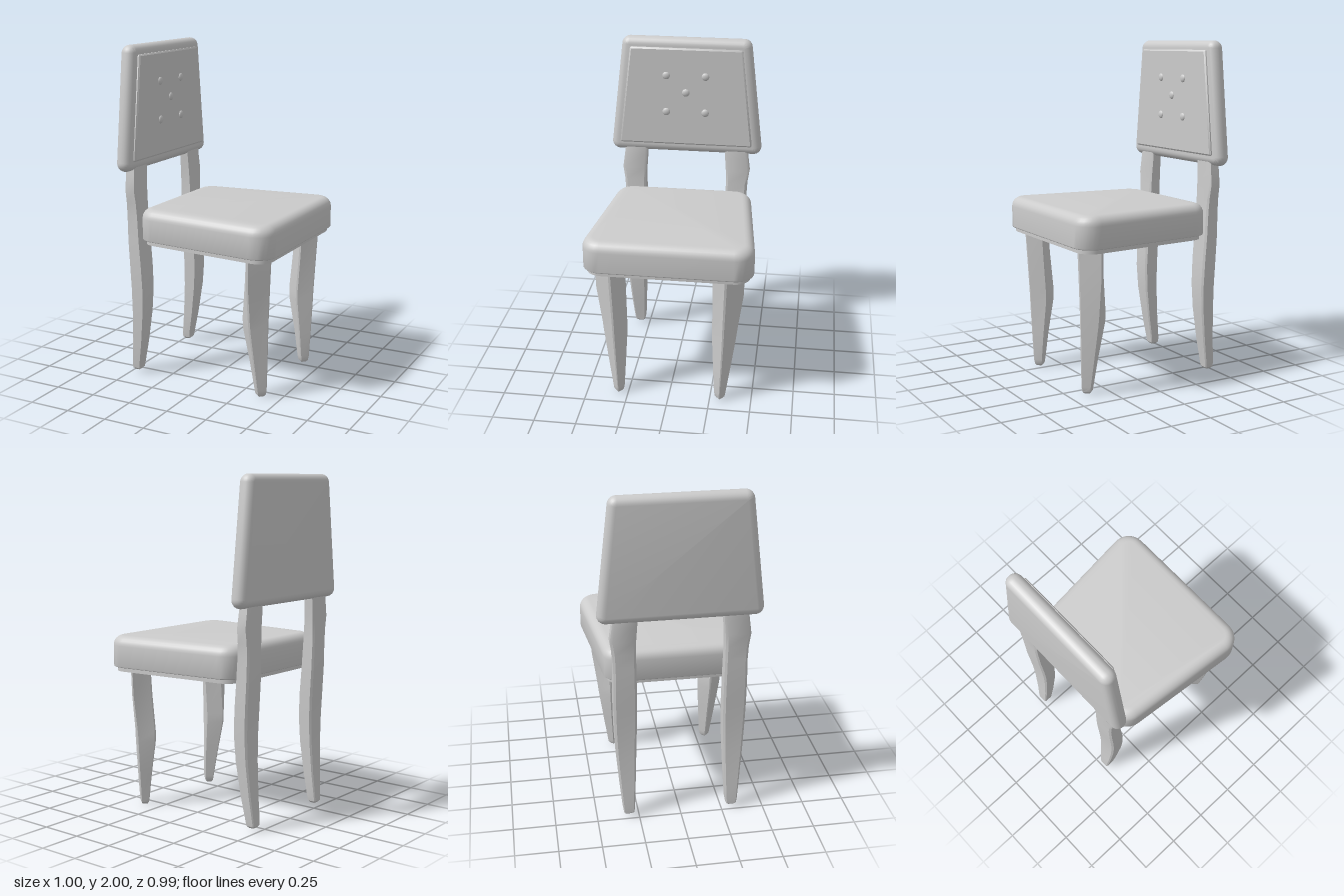
import * as THREE from 'three';
import { toCreasedNormals } from 'three/addons/utils/BufferGeometryUtils.js';

const material = new THREE.MeshStandardMaterial({ color: 0xcccccc });

function addMesh(parent, name, geometry) {
  const mesh = new THREE.Mesh(geometry, material);
  mesh.name = name;
  parent.add(mesh);
  return mesh;
}

// Closed skin through rings of [x, y, z] points, capped at both ends
function loft(rings, crease = 0.6) {
  const n = rings[0].length, pos = rings.flat(2), index = [];
  for (let i = 0; i < rings.length - 1; i++) {
    for (let j = 0; j < n; j++) {
      const k = (j + 1) % n;
      const a = i * n + j, b = i * n + k, c = a + n, d = b + n;
      index.push(a, b, d, a, d, c);
    }
  }
  const last = (rings.length - 1) * n;
  for (let j = 1; j < n - 1; j++) {
    index.push(0, j + 1, j);
    index.push(last, last + j, last + j + 1);
  }
  const g = new THREE.BufferGeometry();
  g.setAttribute('position', new THREE.Float32BufferAttribute(pos, 3));
  g.setIndex(index);
  return toCreasedNormals(g, crease);
}

// Trapezoid with rounded corners: half width h0 at v0, h1 at v1
function roundedTrapezoid({ v0, v1, h0, h1, r }, inset, steps = 7) {
  const k = (h1 - h0) / (v1 - v0), phi = Math.atan(-k), PI = Math.PI;
  const half = v => h0 + k * (v - v0) - r * Math.hypot(1, k);
  const low = v0 + r, high = v1 - r;
  const corners = [
    [half(low), low, -PI / 2, phi],
    [half(high), high, phi, PI / 2],
    [-half(high), high, PI / 2, PI - phi],
    [-half(low), low, PI - phi, PI * 1.5],
  ];
  const points = [];
  for (const [u, v, from, to] of corners) {
    for (let i = 0; i <= steps; i++) {
      const a = from + (to - from) * i / steps;
      points.push([u + (r - inset) * Math.cos(a), v + (r - inset) * Math.sin(a)]);
    }
  }
  return points;
}

// Profile of [inset, depth] pairs: quarter rounds at the start and the end
function roundedProfile(w0, w1, r0, r1, steps = 6) {
  const out = [];
  for (let i = 0; i <= steps; i++) {
    const a = i / steps * Math.PI / 2;
    out.push([r0 * (1 - Math.sin(a)), w0 + r0 * (1 - Math.cos(a))]);
  }
  for (let i = 0; i <= steps; i++) {
    const a = i / steps * Math.PI / 2;
    out.push([r1 * (1 - Math.cos(a)), w1 - r1 * (1 - Math.sin(a))]);
  }
  return out;
}

const horizontalSlab = (shape, profile) => loft(profile.map(([inset, y]) =>
  roundedTrapezoid(shape, inset).map(([u, v]) => [v, y, u])));
const uprightSlab = (shape, profile) => loft(profile.map(([inset, x]) =>
  roundedTrapezoid(shape, inset).map(([u, v]) => [x, v, -u])));

// Leg from sections of four [z, x] corners, each corner slightly bevelled
function legGeometry(sections, side, bevel) {
  return loft(sections.map(({ y, corners }) => {
    const ring = [];
    corners.forEach((c, i) => {
      for (const other of [corners[(i + 3) % 4], corners[(i + 1) % 4]]) {
        ring.push([c[1] + (other[1] - c[1]) * bevel, y, side * (c[0] + (other[0] - c[0]) * bevel)]);
      }
    });
    return side < 0 ? ring.reverse() : ring;
  }), 0.5);
}

// Front legs: diamond section, [y, xMin, xMax, zMin, zMax, xRidge, zRidge]
const frontLeg = [
  [0.0, 0.35, 0.395, 0.29, 0.33, 0.372, 0.31],
  [0.012, 0.338, 0.408, 0.278, 0.342, 0.37, 0.31],
  [0.04, 0.332, 0.414, 0.272, 0.347, 0.368, 0.31],
  [0.2, 0.305, 0.422, 0.262, 0.372, 0.357, 0.317],
  [0.41, 0.262, 0.43, 0.25, 0.403, 0.343, 0.325],
  [0.47, 0.26, 0.432, 0.25, 0.41, 0.341, 0.326],
  [0.7, 0.28, 0.443, 0.25, 0.443, 0.342, 0.333],
  [0.86, 0.288, 0.452, 0.25, 0.447, 0.345, 0.338],
].map(([y, x0, x1, z0, z1, xr, zr]) => ({
  y, corners: [[zr, x0], [z1, xr], [zr, x1], [z0, (x0 + x1) / 2]],
}));

// Back legs: square section, [y, xMin, xMax, zMin, zMax]
const backLeg = [
  [0.018, -0.475, -0.445, 0.292, 0.328],
  [0.03, -0.487, -0.432, 0.28, 0.34],
  [0.06, -0.487, -0.428, 0.275, 0.345],
  [0.2, -0.474, -0.404, 0.268, 0.358],
  [0.4, -0.463, -0.378, 0.26, 0.374],
  [0.55, -0.462, -0.37, 0.255, 0.382],
  [0.7, -0.468, -0.376, 0.252, 0.386],
  [0.85, -0.476, -0.388, 0.252, 0.386],
  [1.0, -0.479, -0.397, 0.254, 0.384],
  [1.08, -0.479, -0.402, 0.255, 0.388],
  [1.16, -0.479, -0.406, 0.253, 0.4],
  [1.25, -0.479, -0.41, 0.246, 0.388],
  [1.3, -0.479, -0.412, 0.243, 0.382],
].map(([y, x0, x1, z0, z1]) => ({
  y, corners: [[z1, x0], [z1, x1], [z0, x1], [z0, x0]],
}));

export function createModel() {
  const chair = new THREE.Group();
  chair.name = 'chair';

  // Seat cushion and the thin base board under it
  const seatShape = { v0: -0.39, v1: 0.5, h0: 0.415, h1: 0.507, r: 0.11 };
  addMesh(chair, 'seatCushion', horizontalSlab(seatShape, roundedProfile(0.867, 1.055, 0.008, 0.058)));
  addMesh(chair, 'seatBase', horizontalSlab(seatShape, [[0.022, 0.842], [0.022, 0.875]]));

  // Backrest frame with rounded rim
  addMesh(chair, 'backrestFrame', uprightSlab(
    { v0: 1.273, v1: 2.0, h0: 0.475, h1: 0.39, r: 0.05 },
    roundedProfile(-0.5, -0.405, 0.045, 0.045)));

  // Raised panel on the backrest, with a bevelled edge
  addMesh(chair, 'backrestPanel', uprightSlab(
    { v0: 1.333, v1: 1.945, h0: 0.412, h1: 0.341, r: 0.012 },
    [[0, -0.43], [0, -0.398], [0.009, -0.391]]));

  // Buttons
  for (const [y, z] of [[1.775, 0.12], [1.775, -0.12], [1.67, 0], [1.545, 0.12], [1.545, -0.12]]) {
    const button = addMesh(chair, 'button', new THREE.SphereGeometry(0.024, 12, 8));
    button.scale.x = 0.5;
    button.position.set(-0.392, y, z);
  }

  // Legs, mirrored left and right
  for (const side of [1, -1]) {
    addMesh(chair, 'frontLeg', legGeometry(frontLeg, side, 0.07));
    addMesh(chair, 'backLeg', legGeometry(backLeg, side, 0.1));
  }
  return chair;
}
